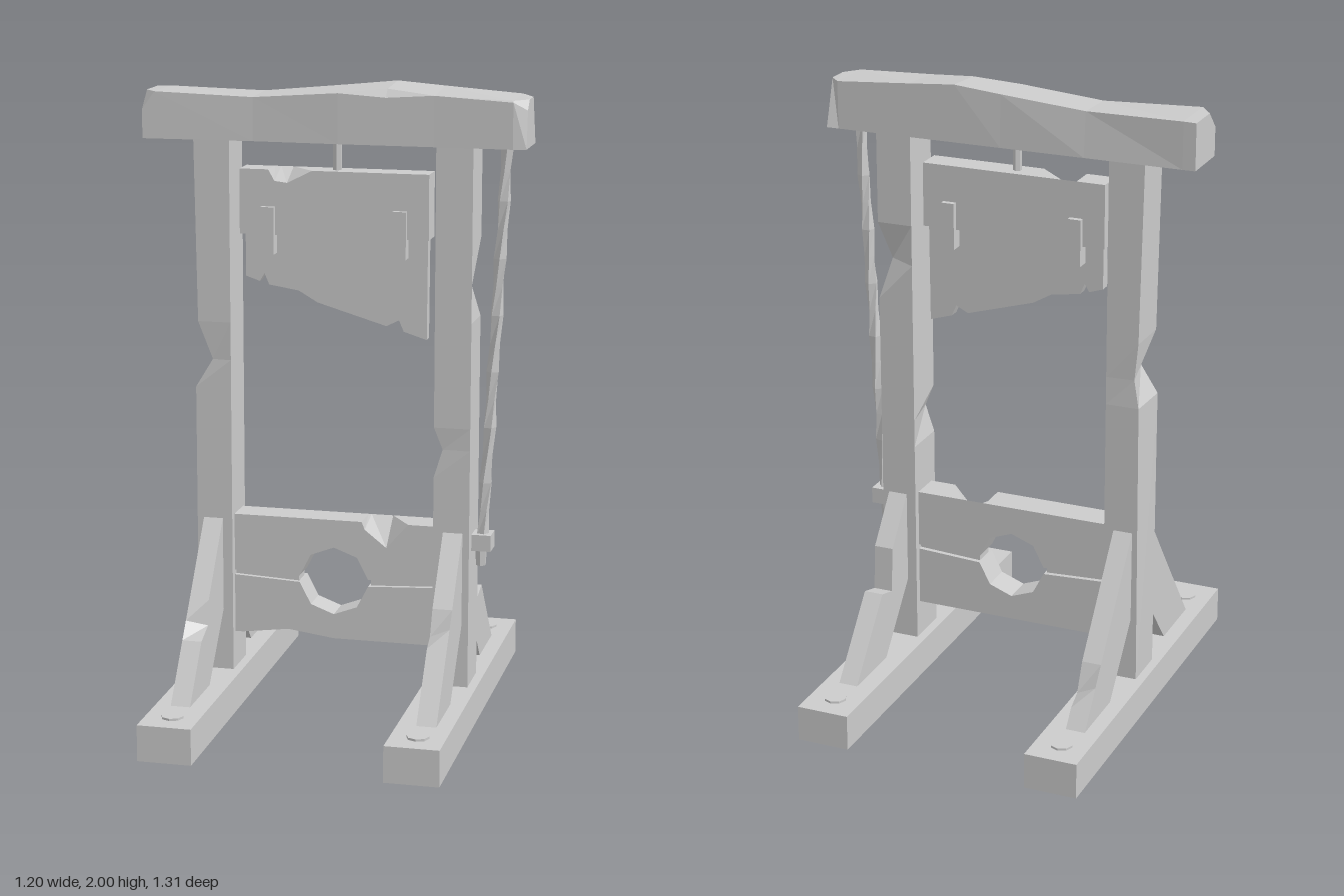
import * as THREE from 'three';

const material = new THREE.MeshStandardMaterial({ color: 0xcccccc, flatShading: true });

function add(parent, name, geometry, x = 0, y = 0, z = 0) {
  const mesh = new THREE.Mesh(geometry, material);
  mesh.name = name;
  mesh.position.set(x, y, z);
  parent.add(mesh);
  return mesh;
}

const box = (w, h, d) => new THREE.BoxGeometry(w, h, d);

// Skin a list of rings (counter-clockwise seen from the far end) and cap both ends.
function loft(rings) {
  const out = [];
  const n = rings[0].length;
  const tri = (...pts) => pts.forEach(p => out.push(...p));
  for (let k = 0; k < rings.length - 1; k++) {
    const a = rings[k], b = rings[k + 1];
    for (let i = 0; i < n; i++) {
      const j = (i + 1) % n;
      tri(a[i], a[j], b[j]);
      tri(a[i], b[j], b[i]);
    }
  }
  const first = rings[0], last = rings[rings.length - 1];
  for (let i = 1; i < n - 1; i++) {
    tri(first[0], first[i + 1], first[i]);
    tri(last[0], last[i], last[i + 1]);
  }
  const g = new THREE.BufferGeometry();
  g.setAttribute('position', new THREE.Float32BufferAttribute(out, 3));
  g.computeVertexNormals();
  return g;
}

// Extruded board, centred in depth. Each chip [x, y, x2, y2] is an outline point
// that returns to the uncut edge (x2, y2) on the back (or, if frontSide is false, the front).
function board(points, depth, chips = [], frontSide = true) {
  const shape = new THREE.Shape(points.map(p => new THREE.Vector2(...p)));
  const g = new THREE.ExtrudeGeometry(shape, { depth, bevelEnabled: false });
  g.translate(0, 0, -depth / 2);
  const p = g.attributes.position;
  for (let i = 0; i < p.count; i++) {
    if ((p.getZ(i) > 0) === frontSide) continue;
    for (const [x, y, x2, y2] of chips) {
      if (Math.hypot(p.getX(i) - x, p.getY(i) - y) < 1e-4) p.setXY(i, x2, y2);
    }
  }
  g.computeVertexNormals();
  return g;
}

// Upright post; levels are [y, {corner: [x, z]}] with corners pulled in at the chips.
function post(cx, levels) {
  const corners = [[cx + 0.057, 0.077], [cx + 0.057, -0.073], [cx - 0.057, -0.073], [cx - 0.057, 0.077]];
  return loft(levels.map(([y, moved = {}]) => corners.map((c, i) => {
    const [x, z] = moved[i] || c;
    return [x, y, z];
  })));
}

export function createModel() {
  const model = new THREE.Group();
  model.name = 'guillotine';

  // Feet with a slot underneath, and bolt heads on top
  for (const s of [-1, 1]) {
    const foot = new THREE.Group();
    foot.name = s > 0 ? 'leftFoot' : 'rightFoot';
    foot.position.x = s * 0.382;
    model.add(foot);
    add(foot, 'footTop', box(0.17, 0.03, 1.306), 0, 0.1, 0);
    for (const e of [-1, 1]) {
      add(foot, 'footSide', box(0.035, 0.085, 1.306), e * 0.0675, 0.0425, 0);
      add(foot, 'footEnd', box(0.1, 0.085, 0.05), 0, 0.0425, e * 0.628);
      add(foot, 'bolt', new THREE.CylinderGeometry(0.035, 0.035, 0.05, 8), 0, 0.097, e * 0.56);
    }
  }

  // Posts with chipped corners
  add(model, 'rightPost', post(-0.382, [
    [0.1], [1.04, { 2: [-0.432, -0.073] }], [1.13, { 2: [-0.415, -0.068], 3: [-0.385, 0.07] }],
    [1.25, { 2: [-0.428, -0.073], 3: [-0.43, 0.077] }], [1.83],
  ]));
  add(model, 'leftPost', post(0.382, [
    [0.1], [0.79], [0.88, { 3: [0.352, 0.072] }], [0.95],
    [1.28], [1.4, { 1: [0.415, -0.02] }], [1.53], [1.83],
  ]));

  // Top beam: rings along x as [x, topBack, topFront, zBack, zFront, chipDepth]
  const beam = [
    [-0.6, 1.965, 1.965, -0.087, 0.085, 0.055],
    [-0.56, 1.966, 1.966, -0.087, 0.084, 0],
    [-0.25, 1.96, 1.955, -0.074, 0.073, 0],
    [0.02, 1.985, 1.975, -0.083, 0.083, 0],
    [0.17, 2.0, 1.99, -0.087, 0.083, 0.025],
    [0.32, 1.988, 1.975, -0.087, 0.083, 0],
    [0.56, 1.97, 1.966, -0.087, 0.085, 0.005],
    [0.6, 1.966, 1.966, -0.04, 0.06, 0.03],
  ];
  add(model, 'topBeam', loft(beam.map(([x, tb, tf, zb, zf, c]) => [
    [x, 1.82, -0.087], [x, tb, zb], [x, tf, zf - c], [x, tf - c, zf], [x, 1.82, Math.max(zf, 0.075)],
  ])));

  // Blade, its wooden holder, clamps and hanging rod
  add(model, 'blade', board([
    [-0.29, 1.56], [-0.29, 1.39], [-0.245, 1.375], [-0.23, 1.4], [-0.215, 1.365], [-0.12, 1.35],
    [-0.06, 1.315], [0.16, 1.25], [0.2, 1.27], [0.215, 1.235], [0.288, 1.212], [0.29, 1.56],
  ], 0.035));
  add(model, 'bladeHolder', board([
    [-0.302, 1.527], [0.297, 1.527], [0.297, 1.73], [-0.07, 1.73], [-0.15, 1.69], [-0.19, 1.695], [-0.21, 1.73], [-0.302, 1.73],
  ], 0.085, [[-0.15, 1.69, -0.15, 1.73], [-0.19, 1.695, -0.19, 1.73]]));
  for (const x of [-0.21, 0.208]) {
    add(model, 'bladeClamp', box(0.042, 0.148, 0.12), x, 1.541, 0);
  }
  add(model, 'hangingRod', new THREE.CylinderGeometry(0.014, 0.014, 0.12, 6), 0, 1.78, 0);

  // Neck stocks: two boards around an eight-sided hole
  const arc = (from, to) => {
    const pts = [];
    for (let i = 0; i <= 4; i++) {
      const a = from + (to - from) * i / 4;
      pts.push([0.112 * Math.cos(a), 0.425 + 0.11 * Math.sin(a)]);
    }
    return pts;
  };
  const tilt = 0.1;
  add(model, 'upperStock', board([
    [-0.33, 0.44], ...arc(Math.PI - tilt, tilt), [0.33, 0.44],
    [0.33, 0.625], [0.24, 0.625], [0.17, 0.545], [0.1, 0.6], [0.09, 0.625], [-0.33, 0.625],
  ], 0.1, [[0.17, 0.545, 0.17, 0.625], [0.1, 0.6, 0.1, 0.625]]));
  add(model, 'lowerStock', board([
    [-0.33, 0.425], [-0.33, 0.235], [-0.3, 0.235], [-0.15, 0.255], [0, 0.235], [0.33, 0.235], [0.33, 0.425],
    ...arc(-tilt, -Math.PI + tilt),
  ], 0.1, [[-0.15, 0.255, -0.15, 0.235]]));
  for (const s of [-1, 1]) {
    add(model, 'stockSeam', box(0.21, 0.04, 0.07), s * 0.222, 0.43, 0);
  }

  // Diagonal braces; outlines run outward from the post, then turned to face front or back
  const outline = middle => [[0.07, 0.325], [0.25, 0.11], [0.465, 0.11], ...middle, [0.07, 0.625]];
  const dents = [
    ['frontRightBrace', -1, 1, [[0.33, 0.285], [0.255, 0.315], [0.245, 0.395]], [[0.255, 0.315, 0.29, 0.337]], false],
    ['frontLeftBrace', 1, 1, [[0.31, 0.311], [0.265, 0.335], [0.23, 0.414]], [[0.265, 0.335, 0.27, 0.363]], true],
    ['backRightBrace', -1, -1, [[0.42, 0.168], [0.37, 0.195], [0.33, 0.285]], [[0.37, 0.195, 0.375, 0.226]], true],
    ['backLeftBrace', 1, -1, [[0.265, 0.35], [0.195, 0.33], [0.185, 0.475]], [], true],
  ];
  for (const [name, side, dir, middle, chips, front] of dents) {
    const brace = add(model, name, board(outline(middle), 0.062, chips, front), side * 0.387, 0, 0);
    brace.rotation.y = -dir * Math.PI / 2;
  }

  // Release rope: a twisted five-sided strand with a weighted handle
  const rings = [];
  for (let k = 0; k <= 14; k++) {
    const t = k / 14;
    const r = k % 2 ? 0.016 : 0.021;
    rings.push(Array.from({ length: 5 }, (_, i) => {
      const a = i / 5 * Math.PI * 2 + k * 0.35;
      return [0.468 + 0.063 * t + r * Math.cos(a), 0.59 + 1.24 * t, 0.005 - r * Math.sin(a)];
    }));
  }
  add(model, 'rope', loft(rings));
  add(model, 'ropeHandle', box(0.068, 0.052, 0.068), 0.466, 0.577, 0.003);
  add(model, 'ropeEnd', new THREE.CylinderGeometry(0.02, 0.016, 0.06, 6), 0.464, 0.528, 0.003);

  return model;
}
